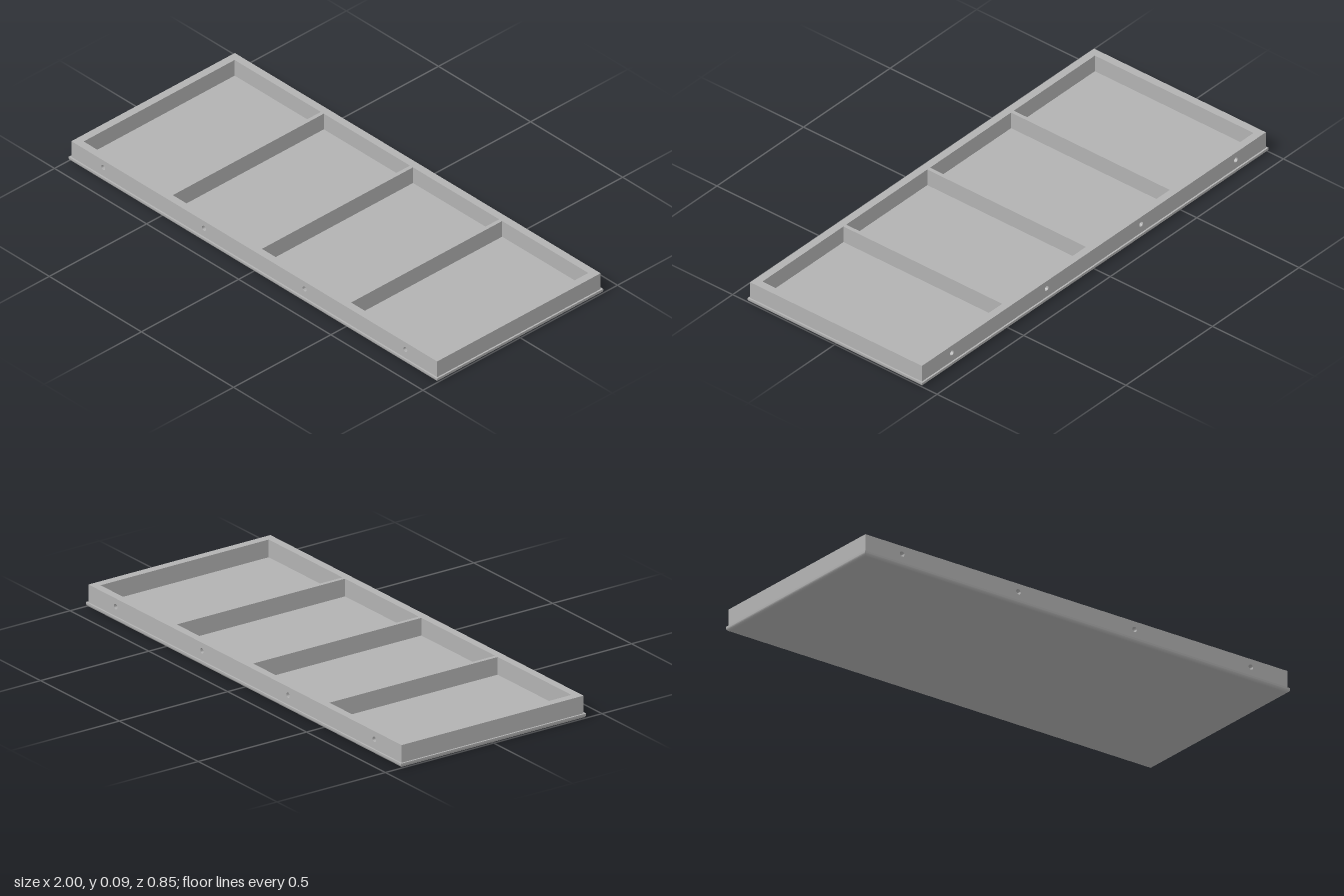
import * as THREE from 'three';
import { toCreasedNormals } from 'three/addons/utils/BufferGeometryUtils.js';

const PLATE_TOP = 0.018, TOP = 0.089;
const OUTER_X = 0.993, OUTER_Z = 0.42;   // frame half sizes
const INNER_X = 0.96, INNER_Z = 0.388;   // pocket area half sizes
const SKIN = 0.02;                       // depth of the blind screw holes
const DIVIDER = 0.016;

function rectangle(target, x0, y0, x1, y1) {
  target.moveTo(x0, y0);
  target.lineTo(x1, y0);
  target.lineTo(x1, y1);
  target.lineTo(x0, y1);
  target.closePath();
  return target;
}

// Base plate: stacked rectangular sections with a rounded lower edge
function plateGeometry(hx, hz, height, radius) {
  const sections = [];
  const steps = 6;
  for (let i = 0; i <= steps; i++) {
    const a = (i / steps) * Math.PI / 2;
    sections.push([radius * (1 - Math.sin(a)), radius * (1 - Math.cos(a))]);
  }
  sections.push([0, height]);

  const positions = [], index = [];
  for (const [inset, y] of sections) {
    const x = hx - inset, z = hz - inset;
    positions.push(-x, y, z, x, y, z, x, y, -z, -x, y, -z);
  }
  for (let s = 0; s < sections.length - 1; s++) {
    for (let k = 0; k < 4; k++) {
      const a = s * 4 + k, b = s * 4 + (k + 1) % 4;
      index.push(a, b, b + 4, a, b + 4, a + 4);
    }
  }
  const t = (sections.length - 1) * 4;
  index.push(0, 2, 1, 0, 3, 2, t, t + 1, t + 2, t, t + 2, t + 3);
  const geometry = new THREE.BufferGeometry();
  geometry.setAttribute('position', new THREE.Float32BufferAttribute(positions, 3));
  geometry.setIndex(index);
  return toCreasedNormals(geometry, Math.PI / 7);
}

// Frame with four open pockets, extruded upwards
function frameGeometry() {
  const z = OUTER_Z - SKIN;
  const shape = rectangle(new THREE.Shape(), -OUTER_X, -z, OUTER_X, z);
  const pitch = (2 * INNER_X + DIVIDER) / 4;
  for (let i = 0; i < 4; i++) {
    const x = -INNER_X + i * pitch;
    shape.holes.push(rectangle(new THREE.Path(), x, -INNER_Z, x + pitch - DIVIDER, INNER_Z));
  }
  const geometry = new THREE.ExtrudeGeometry(shape, { depth: TOP - PLATE_TOP, bevelEnabled: false });
  return geometry.rotateX(-Math.PI / 2).translate(0, PLATE_TOP, 0);
}

// Long outer wall face with a row of round blind holes
function drilledWallGeometry() {
  const shape = rectangle(new THREE.Shape(), -OUTER_X, PLATE_TOP, OUTER_X, TOP);
  for (const x of [-0.82, -0.273, 0.273, 0.82]) {
    const hole = new THREE.Path();
    hole.absarc(x, 0.056, 0.0105, 0, Math.PI * 2, true);
    shape.holes.push(hole);
  }
  const geometry = new THREE.ExtrudeGeometry(shape, { depth: SKIN, bevelEnabled: false, curveSegments: 24 });
  return toCreasedNormals(geometry.translate(0, 0, OUTER_Z - SKIN), Math.PI / 6);
}

export function createModel() {
  const model = new THREE.Group();
  model.name = 'compartmentTray';
  const grey = new THREE.MeshStandardMaterial({ color: 0xb2b2b2 });
  grey.name = 'grey';

  const add = (name, geometry) => {
    const mesh = new THREE.Mesh(geometry, grey);
    mesh.name = name;
    model.add(mesh);
    return mesh;
  };

  add('basePlate', plateGeometry(1, 0.427, PLATE_TOP, 0.012));
  add('dividedFrame', frameGeometry());
  const wall = drilledWallGeometry();
  add('frontDrilledWall', wall);
  add('backDrilledWall', wall).rotation.y = Math.PI;

  return model;
}
